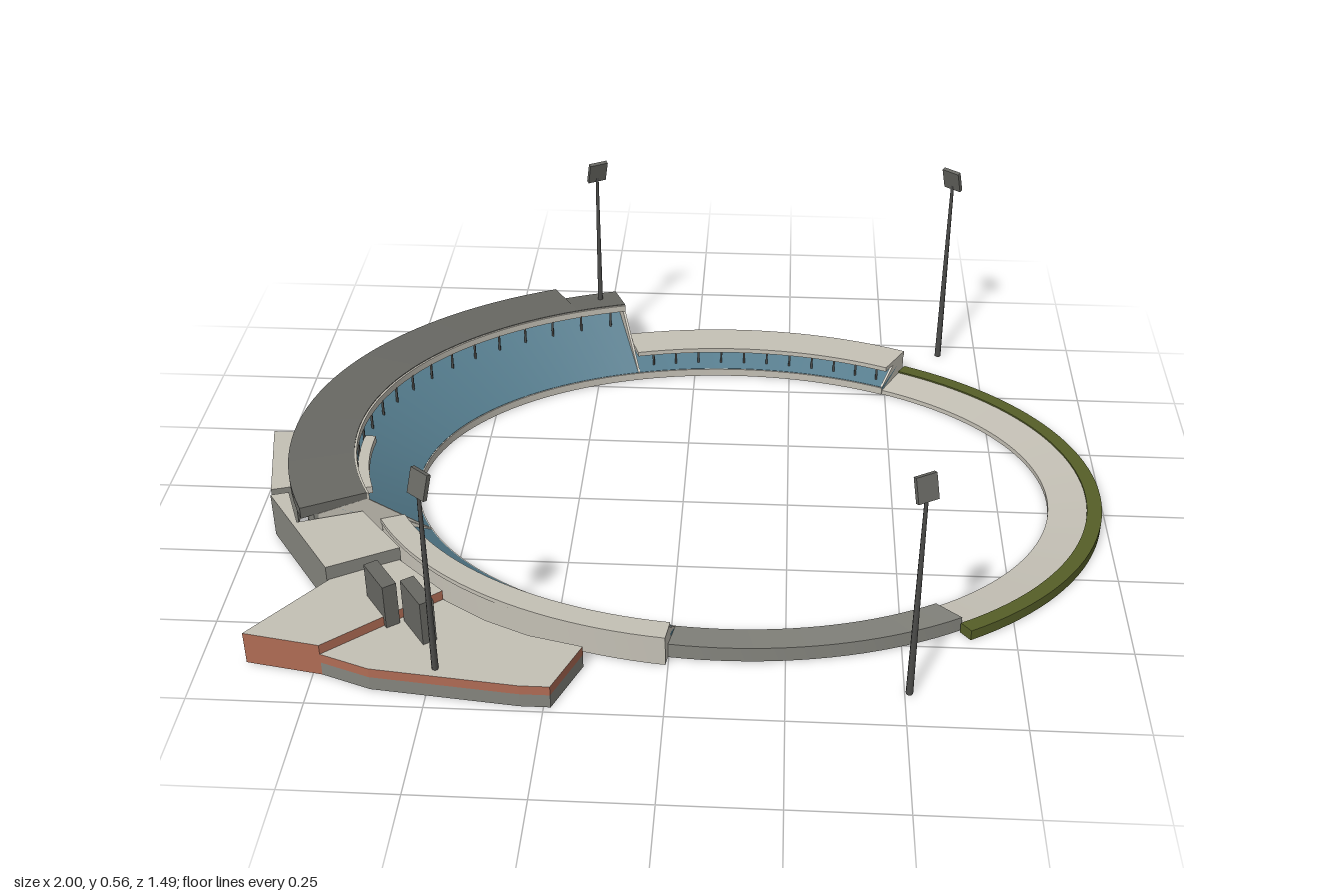
import * as THREE from 'three';
import { toCreasedNormals } from 'three/addons/utils/BufferGeometryUtils.js';

const mat = (name, color) => {
  const m = new THREE.MeshStandardMaterial({ color });
  m.name = name;
  return m;
};

// Field ellipse that every stand follows
const CX = 0.115, CZ = -0.042, RX = 0.755, RZ = 0.533;
const onOval = (deg, s, y) => {
  const t = THREE.MathUtils.degToRad(deg);
  return [CX + (RX + s) * Math.cos(t), y, CZ + (RZ + s * 0.93) * Math.sin(t)];
};

// Sweeps a counter-clockwise profile of [outward offset, height] along the oval
function sweep(profile, from, to) {
  const n = Math.max(1, Math.ceil((to - from) / 2.5));
  const pos = [];
  const ring = i => profile.map(([s, y]) => onOval(from + (to - from) * i / n, s, y));
  for (let i = 0; i < n; i++) {
    const p = ring(i), q = ring(i + 1);
    p.forEach((a, k) => {
      const j = (k + 1) % p.length;
      pos.push(...a, ...p[j], ...q[j], ...a, ...q[j], ...q[k]);
    });
  }
  const faces = THREE.ShapeUtils.triangulateShape(profile.map(v => new THREE.Vector2(...v)), []);
  const start = ring(0), end = ring(n);
  for (const [a, b, c] of faces) {
    pos.push(...start[a], ...start[c], ...start[b], ...end[a], ...end[b], ...end[c]);
  }
  const g = new THREE.BufferGeometry();
  g.setAttribute('position', new THREE.Float32BufferAttribute(pos, 3));
  return toCreasedNormals(g, 0.4);
}

// Upright prism over a ground outline of [x, z]
function prism(points, y0, y1) {
  const shape = new THREE.Shape(points.map(([x, z]) => new THREE.Vector2(x, -z)));
  const g = new THREE.ExtrudeGeometry(shape, { depth: y1 - y0, bevelEnabled: false });
  return g.rotateX(-Math.PI / 2).translate(0, y0, 0);
}

const rect = (s0, s1, y0, y1) => [[s0, y0], [s1, y0], [s1, y1], [s0, y1]];

export function createModel() {
  const root = new THREE.Group();
  root.name = 'stadium';
  const concrete = mat('pale concrete', 0xc4c0b5);
  const grey = mat('grey cladding', 0x85857e);
  const dark = mat('dark roof', 0x686863);
  const steel = mat('dark steel', 0x4c4c4a);
  const blue = mat('blue seats', 0x537a8b);
  const brick = mat('brick', 0xb06c55);
  const green = mat('hedge green', 0x565f28);

  const add = (name, geometry, material, parent = root) => {
    const m = new THREE.Mesh(geometry, material);
    m.name = name;
    parent.add(m);
    return m;
  };
  const arc = (name, profile, from, to, material) => add(name, sweep(profile, from, to), material);

  // Posts standing along an arc
  const posts = (name, s, y0, y1, from, to, count) => {
    for (let i = 0; i < count; i++) {
      const deg = from + (to - from) * (i + 0.5) / count;
      const m = add(name, new THREE.BoxGeometry(0.005, y1 - y0, 0.005), steel);
      m.position.set(...onOval(deg, s, (y0 + y1) / 2));
    }
  };

  // Low wall around the field
  arc('fieldWall', rect(-0.003, 0.001, 0, 0.02), 98, 300, concrete);

  // East bank and hedge
  arc('eastBank', [[0, 0], [0.09, 0], [0.09, 0.022], [0, 0.012]], -60, 52, concrete);
  arc('hedge', rect(0.09, 0.125, 0, 0.026), -60, 52.5, green);

  // South bank
  arc('southBank', [[0, 0], [0.085, 0], [0.085, 0.036], [0, 0.022]], 52, 98, grey);

  // South-west stand
  arc('southWestSeats', [[0, 0.012], [0.08, 0.045], [0.08, 0.056], [0, 0.021]], 98, 157, blue);
  arc('southWestRoof', rect(0.058, 0.115, 0.065, 0.076), 98, 157, concrete);
  arc('southWestWall', rect(0.105, 0.113, 0, 0.066), 98, 157, concrete);
  posts('southWestPost', 0.064, 0.045, 0.066, 99, 157, 12);
  for (const t of [98, 156.6]) {
    arc('southWestEnd', [[0, 0], [0.113, 0], [0.113, 0.07], [0.07, 0.07], [0, 0.022]], t, t + 0.4, concrete);
  }

  // North stand
  arc('northSeats', [[0, 0.012], [0.1, 0.047], [0.1, 0.057], [0, 0.021]], 250, 300, blue);
  arc('northRoof', [[0.015, 0.062], [0.115, 0.064], [0.115, 0.077], [0.015, 0.074]], 250, 300, concrete);
  arc('northWall', rect(0.105, 0.113, 0, 0.066), 250, 300, concrete);
  posts('northPost', 0.022, 0.024, 0.064, 251, 300, 11);
  arc('northEnd', [[0, 0], [0.113, 0], [0.113, 0.066], [0.06, 0.066], [0, 0.022]], 299.6, 300, concrete);

  // West grandstand
  arc('westSeats', [[0, 0.01], [0.2, 0.122], [0.2, 0.132], [0, 0.021]], 157, 250, blue);
  const roof = outer => [[0.14, 0.139], [outer, 0.118], [outer, 0.147], [0.14, 0.156]];
  arc('westRoof', roof(0.295), 157, 241.5, dark);
  arc('westRoofEnd', roof(0.235), 241.5, 250, dark);
  arc('roofFascia', rect(0.135, 0.14, 0.137, 0.154), 157, 250, concrete);
  arc('westWall', rect(0.255, 0.265, 0, 0.125), 157, 241.5, grey);
  arc('westWallEnd', rect(0.195, 0.205, 0, 0.125), 241.5, 250, grey);
  posts('westPost', 0.137, 0.09, 0.139, 158, 250, 17);
  for (const [t, w] of [[157, 0.26], [249.6, 0.205]]) {
    arc('westEndWall', [[0, 0], [w, 0], [w, 0.122], [0.14, 0.139], [0, 0.022]], t, t + 0.4, concrete);
  }
  arc('pressBox', rect(0.11, 0.136, 0.094, 0.112), 164, 183, concrete);

  // Annexes behind the grandstand
  add('westAnnex', prism([[-1, -0.085], [-0.92, -0.085], [-0.9, 0.14], [-0.95, 0.155]], 0, 0.11), [concrete, grey]);
  add('entranceHall', prism([[-0.945, 0.18], [-0.905, 0.167], [-0.86, 0.28], [-0.72, 0.23],
    [-0.61, 0.36], [-0.76, 0.44]], 0, 0.113), [concrete, grey]);

  // Brick pavilion with a taller and a lower block
  add('tallPavilion', prism([[-0.9, 0.63], [-0.755, 0.44], [-0.615, 0.36], [-0.5, 0.465],
    [-0.73, 0.66]], 0, 0.08), [concrete, brick]);
  const low = [[-0.73, 0.66], [-0.5, 0.465], [-0.4, 0.53], [-0.3, 0.575], [-0.18, 0.605],
    [-0.235, 0.735], [-0.3, 0.735], [-0.62, 0.7]];
  add('lowPavilionBase', prism(low, 0, 0.033), grey);
  add('lowPavilion', prism(low, 0.033, 0.056), [concrete, brick]);

  // Twin service towers
  for (const [x, z] of [[-0.62, 0.52], [-0.532, 0.57]]) {
    const tower = add('serviceTower', new THREE.BoxGeometry(0.095, 0.165, 0.032), dark);
    tower.position.set(x, 0.0825, z);
    tower.rotation.y = -0.95;
  }

  // Floodlights turned towards the field
  for (const [x, z] of [[-0.48, 0.69], [-0.26, -0.7], [0.51, 0.65], [0.65, -0.705]]) {
    const light = new THREE.Group();
    light.name = 'floodlight';
    light.position.set(x, 0, z);
    light.rotation.y = Math.atan2(CX - x, CZ - z);
    add('mast', new THREE.CylinderGeometry(0.004, 0.008, 0.51, 8), steel, light).position.y = 0.255;
    const panel = add('lampPanel', new THREE.BoxGeometry(0.048, 0.056, 0.01), dark, light);
    panel.position.set(0, 0.527, 0.003);
    panel.rotation.x = 0.28;
    root.add(light);
  }
  return root;
}
